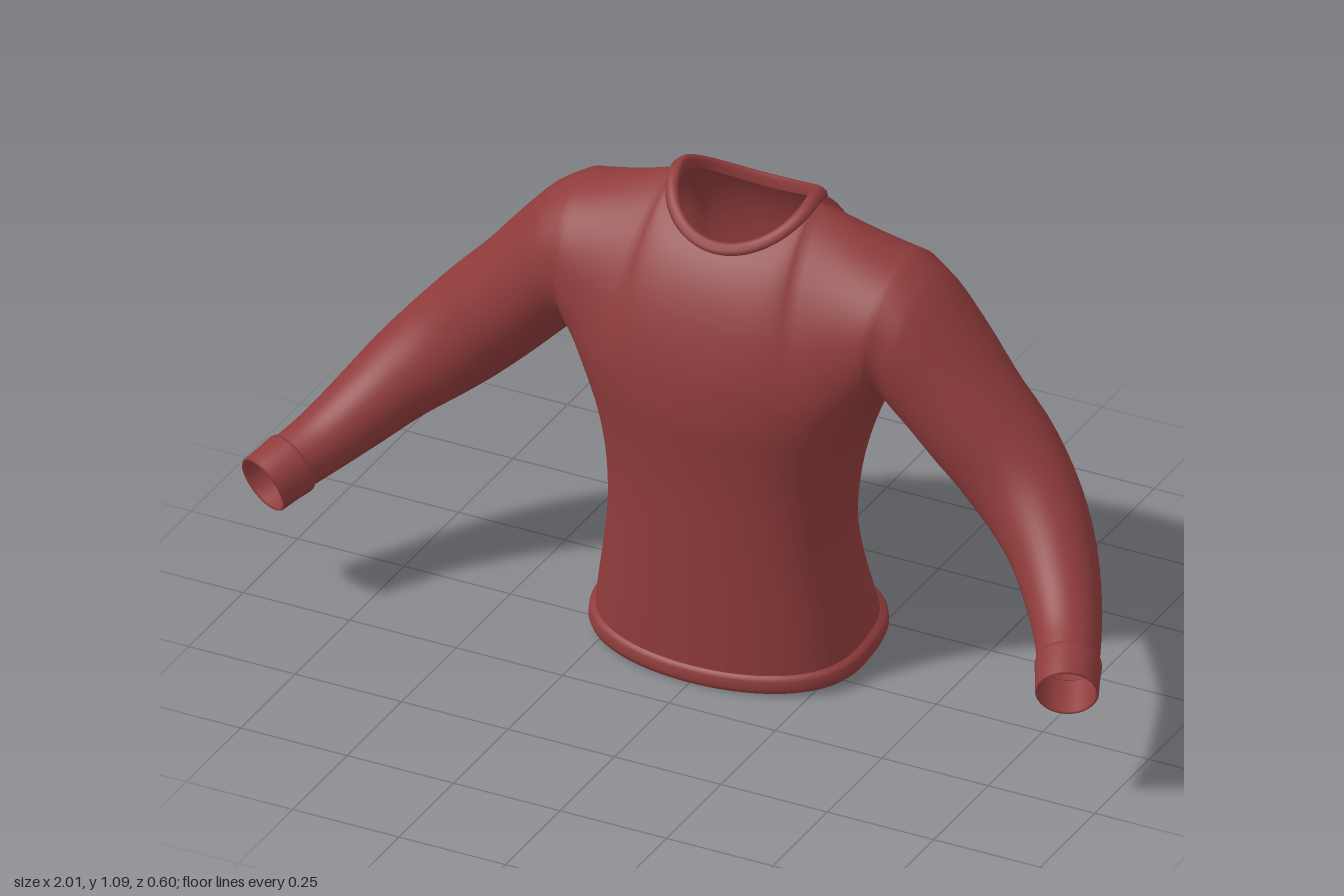
import * as THREE from 'three';
import { mergeGeometries, mergeVertices } from 'three/addons/utils/BufferGeometryUtils.js';

const V3 = (x, y, z) => new THREE.Vector3(x, y, z);
const { lerp } = THREE.MathUtils;
const K = 48;      // columns across a front or back panel
const ROWS = 20;   // rows from armpit to shoulder
const SEAM = 14;   // columns that end on each shoulder seam

// Skin a list of rows of points with quads.
function loft(rows, closed = true) {
  const n = rows[0].length, index = [];
  for (let j = 0; j < rows.length - 1; j++) {
    for (let i = 0; i < (closed ? n : n - 1); i++) {
      const k = (i + 1) % n;
      const a = j * n + i, b = a + n, c = j * n + k, d = c + n;
      index.push(a, b, c, c, b, d);
    }
  }
  const g = new THREE.BufferGeometry();
  g.setAttribute('position', new THREE.Float32BufferAttribute(rows.flat().flatMap(p => p.toArray()), 3));
  g.setIndex(index);
  return g;
}

// Join pieces along their seams and shade them as one smooth surface.
function smooth(parts) {
  const g = mergeVertices(mergeGeometries(parts), 1e-4);
  g.computeVertexNormals();
  return g;
}

// Full loop: across the front from left to right, then back again.
function loop(point) {
  const pts = [];
  for (let k = 0; k <= K; k++) pts.push(point(k, 1));
  for (let k = K - 1; k > 0; k--) pts.push(point(k, -1));
  return pts;
}

// Horizontal torso section; the lower edge rises towards the back.
function torsoPoint(k, side, [y, hw, zf, zb]) {
  const a = Math.PI * k / K, mid = (zf + zb) / 2;
  const s = Math.pow(Math.max(0, Math.sin(a)), 0.72);
  let z = mid + side * s * (zf - zb) / 2;
  const x = hw * Math.cos(a);
  const tilt = 0.065 * (1 - THREE.MathUtils.smoothstep(y, 0, 0.45));
  const yy = y + tilt * (zf - z) / (zf - zb);
  // spine groove
  if (side < 0) z += 0.016 * Math.exp(-((x / 0.06) ** 2)) * THREE.MathUtils.smoothstep(y, 0.2, 0.6);
  return V3(x, yy, z);
}

// Torso sections: height, half width, front z, back z
const TORSO = [
  [0.03, 0.303, 0.150, -0.287], [0.10, 0.293, 0.150, -0.266], [0.20, 0.277, 0.150, -0.245],
  [0.32, 0.264, 0.150, -0.236], [0.45, 0.272, 0.151, -0.250], [0.55, 0.295, 0.157, -0.268],
  [0.63, 0.325, 0.163, -0.279], [0.69, 0.355, 0.160, -0.285],
];
const ARMPIT = TORSO[TORSO.length - 1];

// Neckline at angle b, running from the left shoulder to the right one
function neckPoint(b, side) {
  const s = Math.max(0, Math.sin(b));
  const z = side > 0 ? -0.105 + 0.145 * s : -0.105 - 0.12 * Math.pow(s, 0.75);
  return V3(0.165 * Math.cos(b), 1.073 - (side > 0 ? 0.088 : 0.055) * Math.pow(s, 1.3), z);
}

// Upper end of a panel column: shoulder seam or neckline
function topPoint(k, side) {
  const m = Math.min(k, K - k), sign = k < K / 2 ? 1 : -1;
  if (m >= SEAM) return neckPoint(Math.PI * (k - SEAM) / (K - 2 * SEAM), side);
  const t = m / SEAM;
  return V3(sign * lerp(0.39, 0.165, t), lerp(0.995, 1.073, Math.pow(t, 1.2)), -0.105);
}

// Chest and back panels, rounding over the shoulder; their side edges are the armholes
function panelPoint(k, side, v) {
  const a = Math.PI * k / K, s = Math.max(0, Math.sin(a));
  const p0 = torsoPoint(k, side, ARMPIT), p1 = topPoint(k, side);
  const round = (1 - Math.cos(Math.PI * v)) / 2;
  const over = 0.6 * v + 0.4 * Math.sin(Math.PI * v / 2);
  const bulge = side > 0 ? 0.14 * (1 - s) : -0.17 * (1 - s) - 0.028 * s;
  return V3(
    lerp(p0.x, p1.x, v),
    lerp(p0.y, p1.y, lerp(round, over, s)),
    lerp(p0.z, p1.z, lerp(v, Math.pow(v, 1.5), s)) + bulge * Math.sin(Math.PI * v));
}

function panel(side) {
  const rows = [];
  for (let j = 0; j <= ROWS; j++) {
    const row = [];
    for (let k = 0; k <= K; k++) row.push(panelPoint(side > 0 ? k : K - k, side, j / ROWS));
    rows.push(row);
  }
  return loft(rows, false);
}

function lowerTorso() {
  const a = new THREE.CatmullRomCurve3(TORSO.map(r => V3(r[0], r[1], r[2])));
  const b = new THREE.CatmullRomCurve3(TORSO.map(r => V3(r[0], r[3], 0)));
  const n = (TORSO.length - 1) * 4, rows = [];
  for (let j = 0; j <= n; j++) {
    const p = a.getPoint(j / n), q = b.getPoint(j / n);
    rows.push(loop((k, side) => torsoPoint(k, side, [p.x, p.y, p.z, q.y])));
  }
  return loft(rows);
}

// Sleeve sections: top x, y, bottom x, y, centre z, half depth
const SLEEVE = [
  [0.390, 0.995, 0.355, 0.690, -0.100, 0.155], [0.450, 0.955, 0.385, 0.655, -0.100, 0.152],
  [0.520, 0.880, 0.430, 0.610, -0.098, 0.142], [0.600, 0.785, 0.495, 0.545, -0.092, 0.130],
  [0.680, 0.700, 0.565, 0.480, -0.085, 0.119], [0.750, 0.620, 0.635, 0.425, -0.060, 0.106],
  [0.820, 0.535, 0.710, 0.375, -0.010, 0.094], [0.880, 0.450, 0.775, 0.325, 0.060, 0.083],
  [0.925, 0.390, 0.830, 0.287, 0.135, 0.072], [0.957, 0.358, 0.867, 0.266, 0.200, 0.066],
];

// Loop of a sleeve from the underarm, over the front to the top, and down the back
function sleeveRing(centre, up, tangent, depth) {
  const across = tangent.clone().cross(up).normalize();
  return Array.from({ length: 2 * ROWS }, (_, i) => {
    const t = Math.PI * i / ROWS;
    return centre.clone().addScaledVector(up, -Math.cos(t)).addScaledVector(across, Math.sin(t) * depth);
  });
}

function sleeveRows() {
  const tops = new THREE.CatmullRomCurve3(SLEEVE.map(r => V3(r[0], r[1], r[4])));
  const bottoms = new THREE.CatmullRomCurve3(SLEEVE.map(r => V3(r[2], r[3], r[4])));
  const depths = new THREE.CatmullRomCurve3(SLEEVE.map((r, i) => V3(r[5], i * 0.1, 0)));
  const centre = t => tops.getPoint(t).add(bottoms.getPoint(t)).multiplyScalar(0.5);
  const armhole = [];
  for (let j = 0; j <= ROWS; j++) armhole.push(panelPoint(0, 1, j / ROWS));
  for (let j = ROWS - 1; j > 0; j--) armhole.push(panelPoint(0, -1, j / ROWS));
  const rows = [armhole], n = (SLEEVE.length - 1) * 3;
  for (let j = 2; j <= n; j++) {
    const t = j / n;
    const up = tops.getPoint(t).sub(bottoms.getPoint(t)).multiplyScalar(0.5);
    const tangent = centre(Math.min(1, t + 0.01)).sub(centre(t - 0.01));
    rows.push(sleeveRing(centre(t), up, tangent, depths.getPoint(t).x));
  }
  return rows;
}

// Cuff: a short band with a rolled lip, [distance along, radius]
function cuffRows() {
  const start = V3(0.910, 0.313, 0.195), axis = V3(0.035, -0.028, 0.075);
  const up = V3(1, 1, 0).addScaledVector(axis, -V3(1, 1, 0).dot(axis) / axis.lengthSq()).normalize();
  return [[-0.03, 0.060], [0, 0.069], [0.1, 0.071], [0.5, 0.068], [0.95, 0.067], [1, 0.064], [0.95, 0.061], [0, 0.059]]
    .map(([t, r]) => sleeveRing(start.clone().addScaledVector(axis, t), up.clone().multiplyScalar(r), axis, r));
}

const mirror = rows => rows.map(row => row.map(p => V3(-p.x, p.y, p.z)).reverse());

export function createModel() {
  const wool = new THREE.MeshStandardMaterial({ color: 0x8f3b3b, side: THREE.DoubleSide });
  wool.name = 'dark red wool';
  const group = new THREE.Group();
  group.name = 'sweater';
  const add = (name, geometry) => {
    const mesh = new THREE.Mesh(geometry, wool);
    mesh.name = name;
    group.add(mesh);
  };

  // Body and sleeves in one smooth surface
  const arm = sleeveRows();
  add('bodyAndSleeves', smooth([lowerTorso(), panel(1), panel(-1), loft(arm), loft(mirror(arm))]));

  // Cuffs
  const cuff = cuffRows();
  add('leftCuff', smooth([loft(cuff)]));
  add('rightCuff', smooth([loft(mirror(cuff))]));

  // Hem band: height and outward offset
  const hem = [[0.045, -0.004], [0.036, 0.008], [0.030, 0.013], [0.012, 0.015], [0.001, 0.011], [0, 0.004], [0.012, -0.004], [0.03, -0.004]];
  add('hem', smooth([loft(hem.map(([y, o]) =>
    loop((k, side) => torsoPoint(k, side, [y, 0.303 + o, 0.146 + o, -0.287 - o]))).reverse())]));

  // Collar band: scale about the neck axis and lift
  const collar = [[1.0, -0.008], [1.05, 0.0], [1.04, 0.009], [0.98, 0.018], [0.92, 0.019], [0.88, 0.013], [0.88, -0.008]];
  add('collar', smooth([loft(collar.map(([s, lift]) => loop((k, side) => {
    const p = neckPoint(Math.PI * k / K, side);
    return V3(p.x * s, p.y + lift, -0.105 + (p.z + 0.105) * s);
  })))]));

  return group;
}
